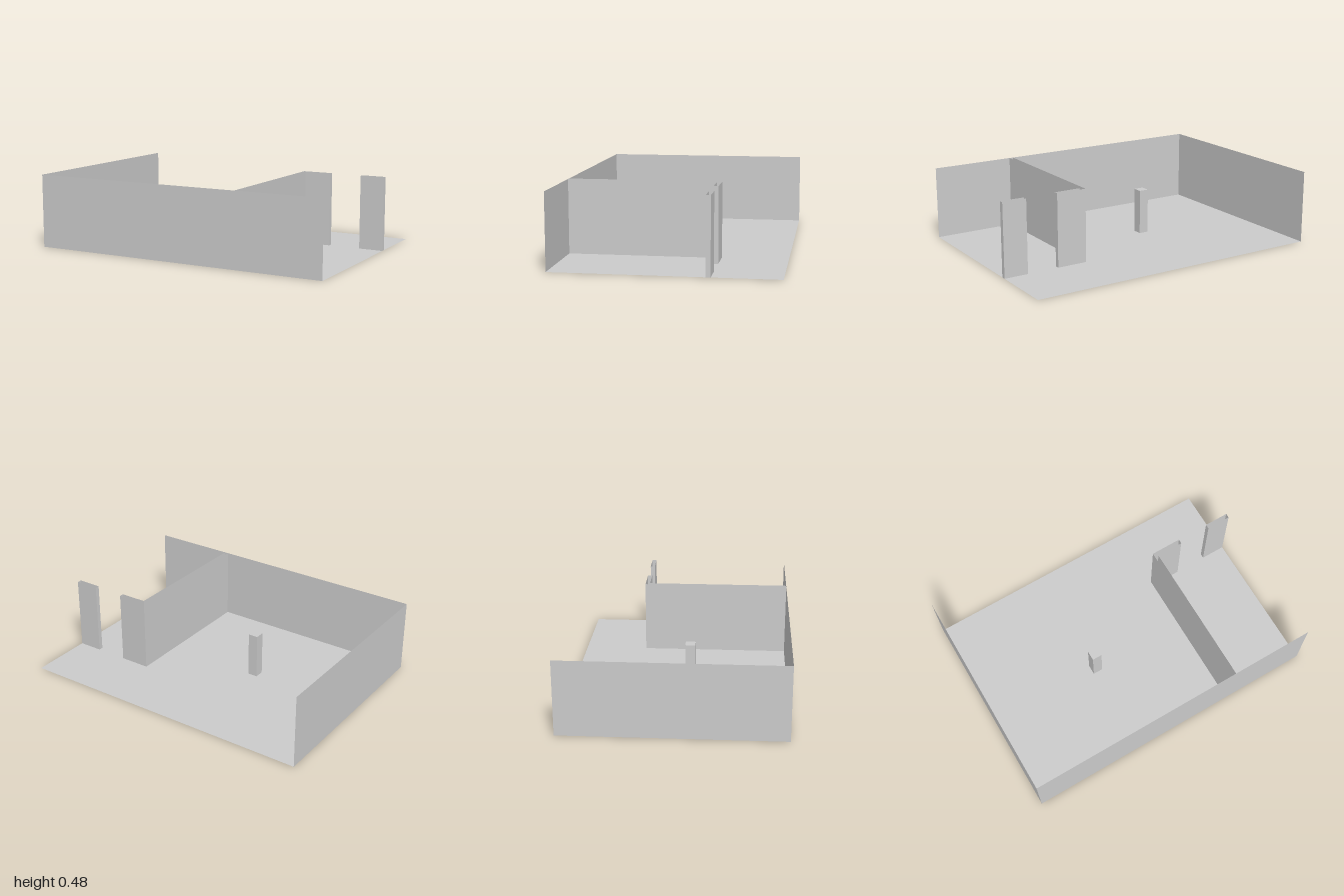
import * as THREE from 'three';

const HEIGHT = 0.48;
const material = new THREE.MeshStandardMaterial({ color: 0xcccccc, flatShading: true, side: THREE.DoubleSide });

function addMesh(group, name, geometry) {
  const mesh = new THREE.Mesh(geometry, material);
  mesh.name = name;
  group.add(mesh);
  return mesh;
}

// Upright sheets of full wall height along a floor-plan path of [x, z] points
function wallSheets(path, closed) {
  const positions = [];
  const count = closed ? path.length : path.length - 1;
  for (let i = 0; i < count; i++) {
    const [ax, az] = path[i];
    const [bx, bz] = path[(i + 1) % path.length];
    positions.push(ax, 0, az, bx, 0, bz, bx, HEIGHT, bz);
    positions.push(ax, 0, az, bx, HEIGHT, bz, ax, HEIGHT, az);
  }
  const geometry = new THREE.BufferGeometry();
  geometry.setAttribute('position', new THREE.Float32BufferAttribute(positions, 3));
  geometry.computeVertexNormals();
  return geometry;
}

export function createModel() {
  const group = new THREE.Group();
  group.name = 'room';

  // Floor sheet
  addMesh(group, 'floor', new THREE.PlaneGeometry(2, 1.4).rotateX(-Math.PI / 2));

  // Thin outer walls on two sides
  addMesh(group, 'frontWall', wallSheets([[-1, 0.7], [1, 0.7]], false));
  addMesh(group, 'sideWall', wallSheets([[-1, -0.7], [-1, 0.7]], false));

  // Hollow, open-topped L-shaped partition
  addMesh(group, 'partition', wallSheets([
    [0.425, 0.7], [0.425, -0.28], [0.627, -0.28],
    [0.627, -0.25], [0.45, -0.25], [0.45, 0.7],
  ], true));

  // Short wall piece on the far side of the doorway
  addMesh(group, 'doorwayWall', wallSheets([
    [0.84, -0.28], [1, -0.28], [1, -0.25], [0.84, -0.25],
  ], true));

  // Free-standing square pillar
  addMesh(group, 'pillar', new THREE.BoxGeometry(0.065, 0.3, 0.065)).position.set(-0.228, 0.15, 0.071);

  return group;
}
